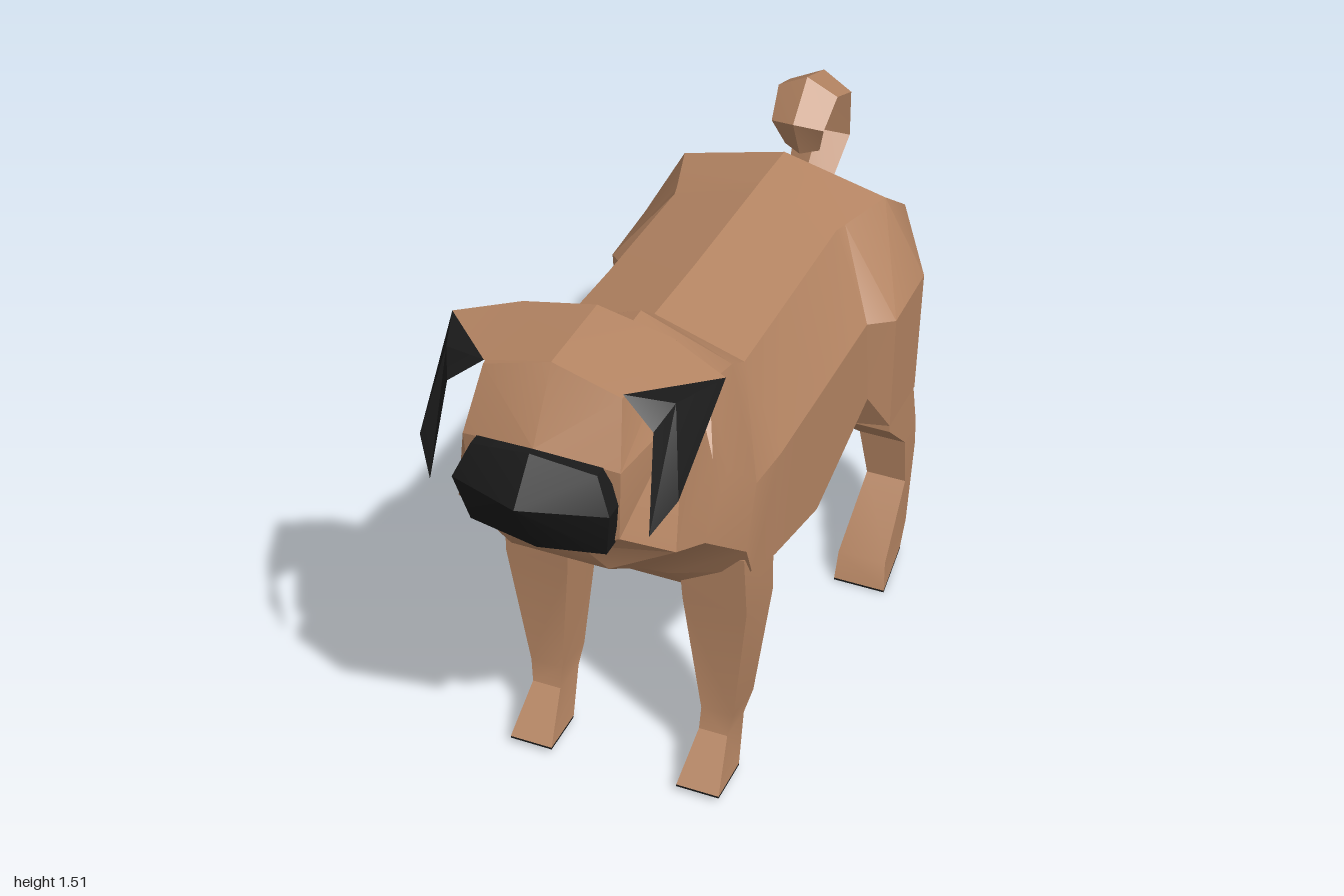
import * as THREE from 'three';
import { toCreasedNormals } from 'three/addons/utils/BufferGeometryUtils.js';

const fur = new THREE.MeshStandardMaterial({ color: 0xb58563 });
fur.name = 'tan fur';
const dark = new THREE.MeshStandardMaterial({ color: 0x1a1a1a, side: THREE.DoubleSide });
dark.name = 'black fur';

// Geometry from a list of triangles, each three [x, y, z] points
function fromTriangles(tris) {
  const geo = new THREE.BufferGeometry();
  geo.setAttribute('position', new THREE.Float32BufferAttribute(tris.flat(2), 3));
  return toCreasedNormals(geo, 0.4);
}

// Joins closed rings into a capped solid; endTip overrides the last cap's centre
function loft(rings, endTip) {
  const tris = [];
  const n = rings[0].length;
  const centre = (r) => [0, 1, 2].map((k) => r.reduce((s, p) => s + p[k], 0) / n);
  const last = rings[rings.length - 1];
  const a = centre(rings[0]);
  const b = endTip ?? centre(last);
  for (let j = 0; j < n; j++) {
    const k = (j + 1) % n;
    tris.push([a, rings[0][k], rings[0][j]], [b, last[j], last[k]]);
    for (let i = 0; i < rings.length - 1; i++) {
      const r = rings[i], s = rings[i + 1];
      tris.push([r[j], r[k], s[k]], [r[j], s[k], s[j]]);
    }
  }
  // Turn the faces outward if the solid came out inverted
  const volume = tris.reduce((sum, [p, q, r]) => {
    const v = new THREE.Vector3(...q).cross(new THREE.Vector3(...r));
    return sum + v.dot(new THREE.Vector3(...p));
  }, 0);
  return fromTriangles(volume < 0 ? tris.map(([p, q, r]) => [p, r, q]) : tris);
}

// Half outline from top centre to bottom centre, completed by reflection
const mirrorRing = (half) => [
  ...half,
  ...half.slice(1, -1).reverse().map(([x, y, z]) => [-x, y, z]),
];

function addMesh(parent, name, geo, material) {
  const mesh = new THREE.Mesh(geo, material);
  mesh.name = name;
  parent.add(mesh);
}

// Back [half width, y, z], upper side [x, y, z], lower side [x, y, z], belly [y, z]
const bodySections = [
  [[0.29, 1.1, -0.84], [0.32, 0.97, -0.84], [0.31, 0.72, -0.87], [0.67, -0.85]],
  [[0.29, 1.26, -0.67], [0.41, 0.97, -0.67], [0.4, 0.6, -0.67], [0.62, -0.67]],
  [[0.24, 1.265, -0.5], [0.41, 0.96, -0.45], [0.4, 0.6, -0.47], [0.58, -0.47]],
  [[0.23, 1.265, -0.46], [0.35, 0.97, -0.39], [0.35, 0.71, -0.42], [0.57, -0.45]],
  [[0.235, 1.27, -0.05], [0.35, 0.97, -0.05], [0.35, 0.6, -0.05], [0.46, -0.05]],
  [[0.24, 1.28, 0.2], [0.35, 0.97, 0.22], [0.35, 0.67, 0.25], [0.51, 0.22]],
  [[0.24, 1.34, 0.28], [0.34, 0.97, 0.36], [0.335, 0.7, 0.37], [0.62, 0.39]],
  [[0.235, 1.34, 0.41], [0.31, 1.08, 0.47], [0.34, 0.8, 0.42], [0.71, 0.47]],
  [[0.225, 1.28, 0.45], [0.29, 1.14, 0.52], [0.3, 0.94, 0.59], [0.81, 0.59]],
  [[0.2, 1.51, 0.53], [0.255, 1.34, 0.61], [0.285, 1.01, 0.73], [0.94, 0.77]],
  [[0.175, 1.51, 0.78], [0.2, 1.3, 0.85], [0.19, 1.1, 0.84], [1.05, 0.84]],
];

// The edge of the back drops toward the side; the belly follows the lower width
const bodyRing = ([[w, ty, tz], upper, lower, [by, bz]]) => mirrorRing([
  [0, ty, tz], [w, ty + (upper[1] - ty) * 0.25, tz], upper,
  lower, [lower[0] * 0.45, by, bz], [0, by, bz],
]);

// Limb rings: inner x, outer x in front, outer x behind, front [z, y], back [z, y]
const frontLegRings = [
  [0.15, 0.33, 0.33, [0.41, 0.76], [0.21, 0.7]],
  [0.16, 0.335, 0.335, [0.4, 0.58], [0.22, 0.53]],
  [0.2, 0.29, 0.29, [0.37, 0.2], [0.23, 0.18]],
  [0.2, 0.28, 0.28, [0.385, 0.14], [0.27, 0.13]],
  [0.18, 0.3, 0.3, [0.49, 0.022], [0.35, 0.022]],
];
const hindLegRings = [
  [0.2, 0.39, 0.3, [-0.48, 0.76], [-0.84, 0.8]],
  [0.2, 0.4, 0.32, [-0.47, 0.58], [-0.85, 0.65]],
  [0.25, 0.385, 0.35, [-0.66, 0.41], [-0.855, 0.35]],
  [0.27, 0.385, 0.36, [-0.68, 0.26], [-0.83, 0.29]],
  [0.25, 0.39, 0.38, [-0.52, 0.08], [-0.72, 0.09]],
  [0.25, 0.4, 0.38, [-0.49, 0.006], [-0.68, 0.02]],
];
const limbRing = (side, [xi, xf, xb, [zf, yf], [zb, yb]]) => [
  [side * xi, yf, zf], [side * xf, yf, zf], [side * xb, yb, zb], [side * xi, yb, zb],
];

function addLeg(parent, name, rings, side) {
  const leg = new THREE.Group();
  leg.name = name;
  addMesh(leg, 'limb', loft(rings.map((r) => limbRing(side, r))), fur);
  // Dark pad under the foot
  const sole = limbRing(side, rings[rings.length - 1]);
  addMesh(leg, 'pad', loft([sole, sole.map(([x, y, z]) => [x, y - 0.006, z])]), dark);
  parent.add(leg);
}

// Outer edge of the tail curl [z, y] with half width; it curls around a centre
const tailCurl = [
  [-0.84, 0.97, 0.06], [-1, 1.15, 0.08], [-0.96, 1.36, 0.09],
  [-0.83, 1.405, 0.085], [-0.73, 1.31, 0.075], [-0.785, 1.19, 0.05],
];

// Diamond section reaching just past halfway from the outer edge to the curl's centre
function tailRing([z, y, w]) {
  const toward = (t) => [y + (1.23 - y) * t, z + (-0.86 - z) * t];
  return [[0, y, z], [w, ...toward(0.27)], [0, ...toward(0.55)], [-w, ...toward(0.27)]];
}

function addEar(parent, name, side) {
  const ear = new THREE.Group();
  ear.name = name;
  const at = (x, y, z) => [side * x, y, z];
  const outer = at(0.35, 1.44, 0.59), front = at(0.175, 1.465, 0.775);
  const back = at(0.19, 1.475, 0.535), fold = at(0.26, 1.4, 0.8);
  const tip = at(0.28, 1.16, 0.875), edge = at(0.33, 1.24, 0.82);
  const under = at(0.33, 1.39, 0.58), root = at(0.21, 1.42, 0.55);
  const ridge = at(0.29, 1.45, 0.74);
  // Brow carries the crown of the head out to the ear
  const crown = [0, 1.512, 0.78], nape = [0, 1.512, 0.53];
  const brow = [[front, outer, back], [crown, front, back], [crown, back, nape]];
  addMesh(ear, 'brow', fromTriangles(side > 0 ? brow : brow.map(([p, q, r]) => [p, r, q])), fur);
  // Hanging flap and its underside
  addMesh(ear, 'flap', fromTriangles([
    [outer, front, ridge], [front, fold, ridge], [outer, ridge, edge],
    [ridge, fold, tip], [ridge, tip, edge], [outer, edge, under],
    [outer, under, root], [outer, root, back], [under, fold, root], [root, fold, front],
  ]), dark);
  parent.add(ear);
}

export function createModel() {
  const dog = new THREE.Group();
  dog.name = 'dog';

  addMesh(dog, 'bodyAndHead', loft(bodySections.map(bodyRing), [0, 1.34, 0.89]), fur);

  // Black muzzle mask, peaked at the nose
  const mask = mirrorRing([
    [0, 1.34, 0.86], [0.16, 1.31, 0.84], [0.2, 1.22, 0.865], [0.175, 1.08, 0.83], [0, 1.055, 0.84],
  ]);
  const muzzle = [mask, mask.map(([x, y, z]) => [x, y, z + 0.05])];
  addMesh(dog, 'muzzle', loft(muzzle, [0, 1.24, 1]), dark);

  addMesh(dog, 'tail', loft(tailCurl.map(tailRing)), fur);

  for (const [label, side] of [['left', 1], ['right', -1]]) {
    addLeg(dog, `${label}FrontLeg`, frontLegRings, side);
    addLeg(dog, `${label}HindLeg`, hindLegRings, side);
    addEar(dog, `${label}Ear`, side);
  }
  return dog;
}
